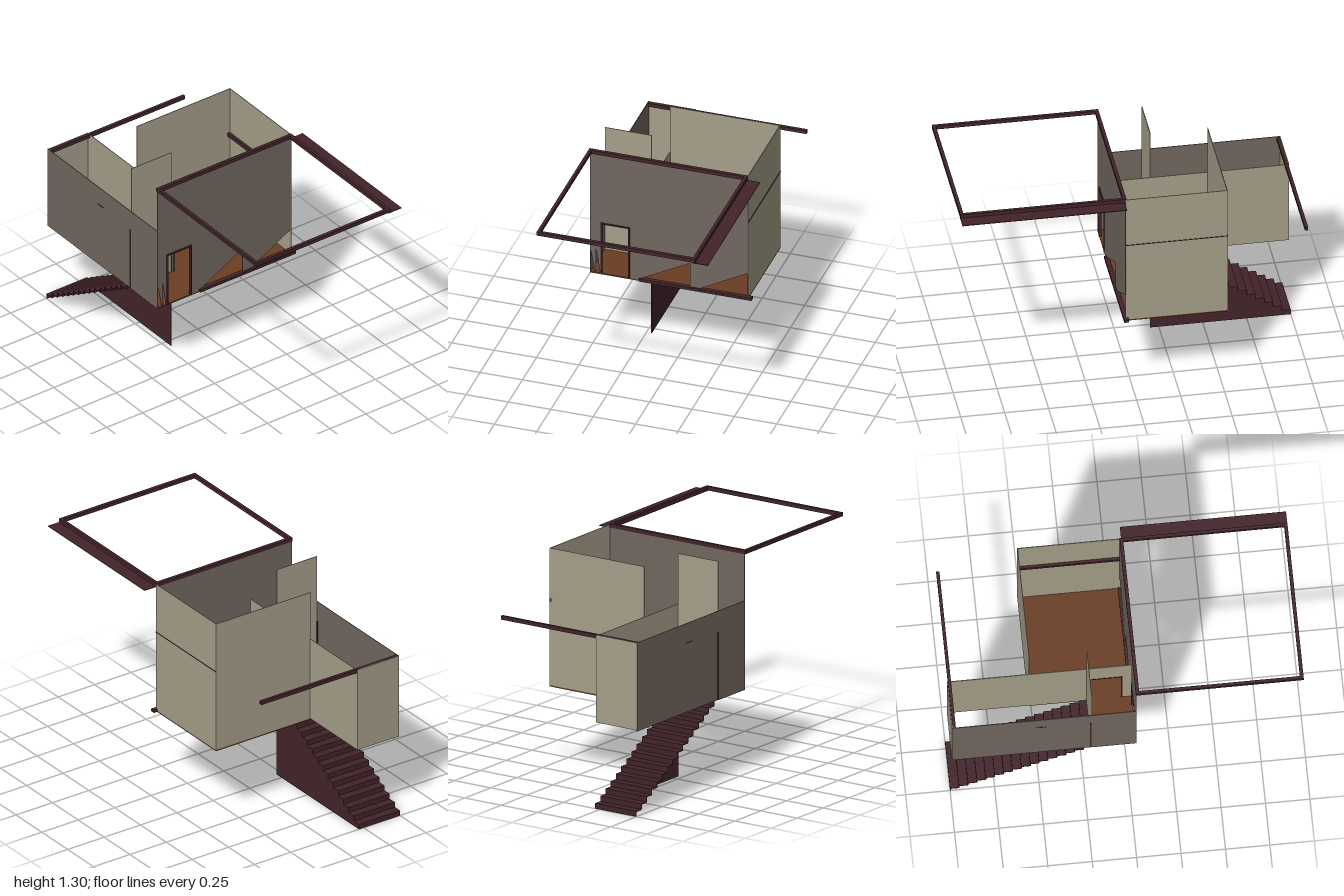
import * as THREE from 'three';

const make = (name, hex) => {
  const m = new THREE.MeshStandardMaterial({ color: hex, side: THREE.DoubleSide });
  m.name = name;
  return m;
};

export function createModel() {
  const group = new THREE.Group();
  const taupe = make('taupe wall', 0x72675f);
  const olive = make('olive wall', 0xa69f8a);
  const wood = make('brown floor', 0x6b3d23);
  const maroon = make('maroon trim', 0x42242a);
  const T = 0.004; // wall thickness

  const add = (name, geo, mat) => {
    const mesh = new THREE.Mesh(geo, mat);
    mesh.name = name;
    group.add(mesh);
    return mesh;
  };
  // box given by its lower and upper limits on each axis
  const box = (name, mat, x0, x1, y0, y1, z0, z1) => {
    const g = new THREE.BoxGeometry(x1 - x0, y1 - y0, z1 - z0);
    g.translate((x0 + x1) / 2, (y0 + y1) / 2, (z0 + z1) / 2);
    return add(name, g, mat);
  };
  const slab = (pts) => new THREE.ExtrudeGeometry(
    new THREE.Shape(pts.map((p) => new THREE.Vector2(p[0], p[1]))),
    { depth: T, bevelEnabled: false });
  // wall across z: points are (x, y); wall across x: points are (z, y)
  const wallZ = (name, mat, z, pts) => add(name, slab(pts).translate(0, 0, z - T), mat);
  const wallX = (name, mat, x, pts) => add(name, slab(pts).rotateY(-Math.PI / 2).translate(x, 0, 0), mat);

  // staircase: open treads and risers against one stepped side panel
  const N = 16, run = 0.8 / N, rise = 0.5 / N;
  const profile = [[-0.2, 0], [-1, 0]];
  for (let i = 0; i < N; i++) {
    const x = -1 + i * run, y = i * rise;
    box('stairRiser', maroon, x, x + T, y, y + rise, 0.22, 0.5);
    box('stairTread', maroon, x, x + run, y + rise - T, y + rise, 0.22, 0.5);
    profile.push([x, y + rise], [x + run, y + rise]);
  }
  wallZ('stairSidePanel', maroon, 0.222, profile);

  // floors of the room and the entrance
  box('roomFloor', wood, -0.53, 0.05, 0.492, 0.5, -0.43, 0.22);
  box('entranceFloor', wood, -0.2, 0.05, 0.492, 0.5, 0.22, 0.5);

  // outer walls
  box('frontWall', taupe, -0.99, 0.05, 0.495, 1.012, 0.5 - T, 0.5);
  wallX('sideWall', taupe, 0.05, [
    [-0.43, 1.3], [-0.43, 0.665], [-0.13, 0.5], [-0.09, 0.5], [-0.09, 0.665], [0.2, 0.51],
    [0.2, 0.5], [0.268, 0.5], [0.268, 0.83], [0.432, 0.83], [0.432, 0.5], [0.44, 0.5],
    [0.465, 0.66], [0.466, 0.5], [0.47, 0.5], [0.5, 0.66], [0.5, 1.3]]);
  box('backWall', olive, -0.53, 0.05, 0.5, 1.3, -0.43, -0.43 + T);
  box('roomEndWall', olive, -0.53, -0.53 + T, 0.5, 1.3, -0.43, 0.22);
  box('corridorEndWall', olive, -0.99, -0.99 + T, 0.5, 1.01, 0.22, 0.5);

  // inner walls
  wallZ('corridorWall', olive, 0.22, [
    [-0.99, 0.5], [-0.19, 0.5], [-0.19, 0.83], [-0.01, 0.83], [-0.01, 0.5],
    [0.046, 0.5], [0.046, 1.005], [-0.99, 1.005]]);
  box('entrancePartition', olive, -0.2 - T, -0.2, 0.5, 1.3, 0.22, 0.496);

  // door frames
  const F = 0.008;
  for (const z of [0.265, 0.429]) box('sideDoorPost', maroon, 0.04, 0.056, 0.5, 0.832, z, z + F);
  box('sideDoorLintel', maroon, 0.04, 0.056, 0.824, 0.832, 0.265, 0.437);
  for (const x of [-0.2, -0.01]) box('innerDoorPost', maroon, x, x + F, 0.5, 0.832, 0.204, 0.222);
  box('innerDoorLintel', maroon, -0.2, -0.002, 0.824, 0.832, 0.204, 0.222);
  box('frontPost', maroon, -0.213, -0.205, 0.5, 0.89, 0.49, 0.502);
  box('frontMark', maroon, -0.515, -0.46, 0.895, 0.9, 0.499, 0.502);

  // trim and rails
  box('sideSill', maroon, 0.035, 0.062, 0.495, 0.512, -0.455, 0.21);
  box('backRail', maroon, -0.53, 0.045, 0.985, 1.008, -0.427, -0.41);
  box('backLine', maroon, -0.53, 0.05, 0.994, 0.998, -0.433, -0.429);
  box('longRail', maroon, -0.985, -0.967, 0.988, 1.01, -0.44, 0.496);

  // open roof frame
  for (const x of [0.045, 0.97]) box('roofSideBar', maroon, x, x + 0.02, 1.283, 1.305, -0.43, 0.505);
  for (const z of [-0.43, 0.487]) box('roofCrossBar', maroon, 0.045, 0.99, 1.283, 1.305, z, z + 0.018);
  box('roofBackStrip', maroon, 0.055, 0.99, 1.278, 1.282, -0.505, -0.415);

  return group;
}
